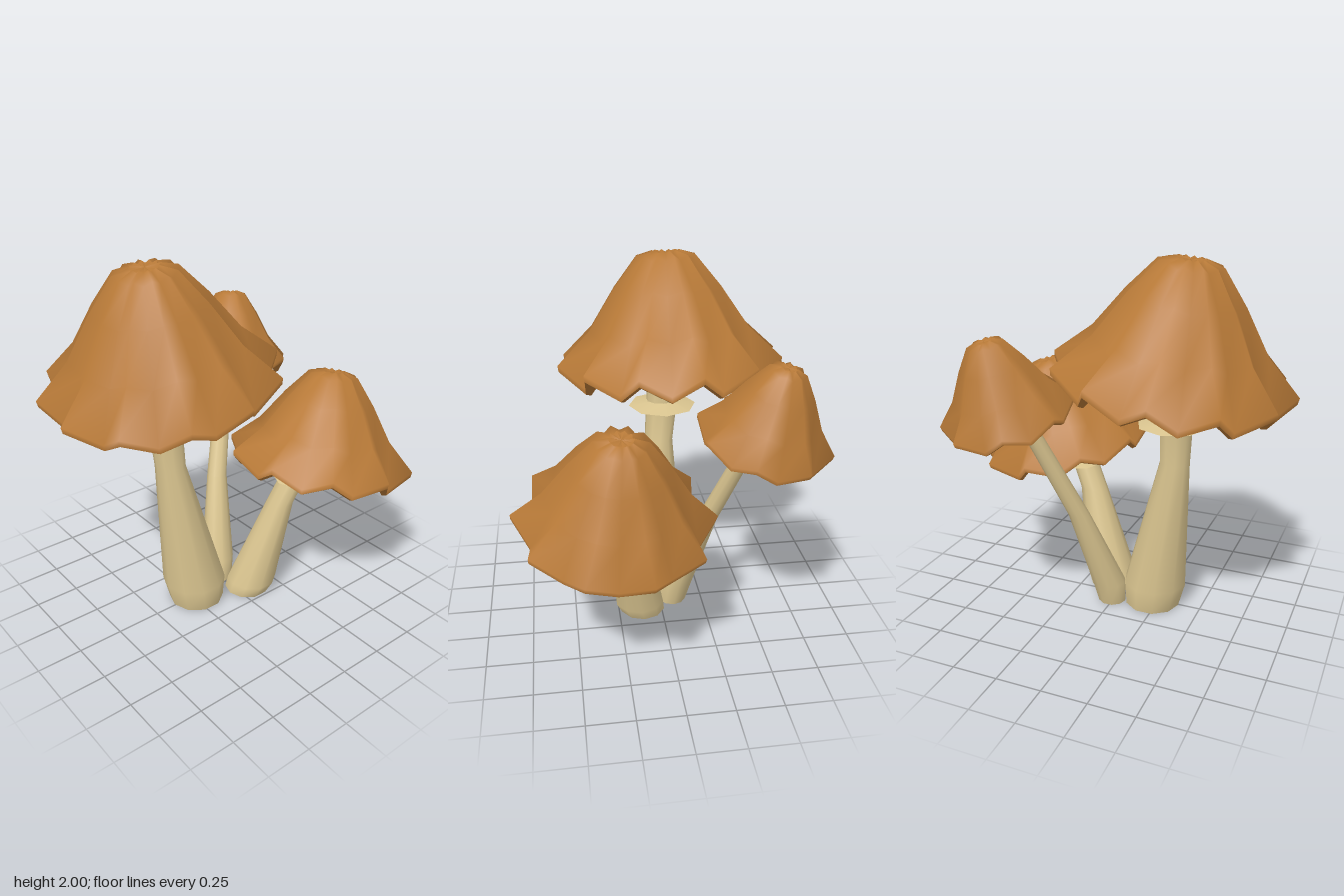
import * as THREE from 'three';
import { mergeGeometries } from 'three/addons/utils/BufferGeometryUtils.js';

// Smooth surface through closed rings of points; upward rings face outward.
function loft(rings) {
  const n = rings[0].length, index = [];
  for (let i = 0; i < rings.length - 1; i++) {
    for (let j = 0; j < n; j++) {
      const k = (j + 1) % n, a = i * n + j, b = i * n + k;
      index.push(a, a + n, b, b, a + n, b + n);
    }
  }
  const geometry = new THREE.BufferGeometry().setFromPoints(rings.flat());
  geometry.setIndex(index);
  geometry.computeVertexNormals();
  return geometry;
}

// Horizontal ring of n points.
function circle(x, y, z, r, n) {
  return Array.from({ length: n }, (_, j) => {
    const a = (j / n) * Math.PI * 2;
    return new THREE.Vector3(x + r * Math.cos(a), y, z + r * Math.sin(a));
  });
}

// Cap cross-sections: [ridge radius, ridge height, valley radius, valley height]
const CROWN = [[0.08, 0.675, 0.072, 0.662], [0, 0.665, 0, 0.665]];
const OUTER = [
  [0.645, 0.05, 0.542, -0.06],
  [0.65, 0.085, 0.545, -0.028],
  [0.46, 0.26, 0.42, 0.215],
  [0.31, 0.48, 0.285, 0.455],
  [0.17, 0.65, 0.155, 0.625],
  CROWN[0],
];
const UNDERSIDE = [
  [0, 0.3, 0, 0.3],
  [0.18, 0.26, 0.16, 0.24],
  [0.42, 0.14, 0.37, 0.08],
  [0.61, 0.035, 0.51, -0.07],
  OUTER[0],
];

// Pleated cap with alternating ridges and valleys.
function capGeometry(ridges, startDegrees, radius, height) {
  const ring = ([r0, h0, r1, h1]) => Array.from({ length: ridges * 2 }, (_, j) => {
    const a = THREE.MathUtils.degToRad(startDegrees) + (j / ridges) * Math.PI;
    const r = (j % 2 ? r1 : r0) * radius;
    return new THREE.Vector3(r * Math.cos(a), (j % 2 ? h1 : h0) * height, r * Math.sin(a));
  });
  return mergeGeometries([CROWN, OUTER, UNDERSIDE].map((rows) => loft(rows.map(ring))));
}

const MUSHROOMS = [
  {
    name: 'largeMushroom',
    cap: { ridges: 12, start: 22, radius: 0.99, height: 1, at: [-0.335, 1.325, -0.108], axis: [-0.13, 0.99, 0.02] },
    // stem sections: x, y, z, radius
    stem: [[-0.215, 0, -0.005, 0.157], [-0.23, 0.14, -0.005, 0.18], [-0.345, 0.9, -0.045, 0.084],
      [-0.36, 1.25, -0.075, 0.094], [-0.375, 1.6, -0.095, 0.094]],
    skirt: [-0.335, 1.12, -0.065, 0.195],
  },
  {
    name: 'frontMushroom',
    cap: { ridges: 10, start: 20, radius: 0.81, height: 0.82, at: [0.445, 0.78, 0.29], axis: [0.22, 0.97, -0.06] },
    stem: [[0.08, 0, 0.11, 0.13], [0.1, 0.07, 0.13, 0.142], [0.245, 0.57, 0.2, 0.078],
      [0.36, 0.82, 0.245, 0.075], [0.47, 1.03, 0.275, 0.07]],
    skirt: [0.365, 0.71, 0.225, 0.155],
  },
  {
    name: 'backMushroom',
    cap: { ridges: 8, start: 20, radius: 0.55, height: 0.66, at: [0.41, 1.175, -0.47], axis: [0.17, 0.965, -0.2] },
    stem: [[0.01, 0, -0.077, 0.08], [0.02, 0.13, -0.1, 0.094], [0.135, 0.6, -0.25, 0.058],
      [0.32, 1.1, -0.415, 0.048], [0.42, 1.37, -0.505, 0.045]],
  },
];

export function createModel() {
  const capColour = new THREE.MeshStandardMaterial({ color: 0xb87a38 });
  capColour.name = 'capBrown';
  const stemColour = new THREE.MeshStandardMaterial({ color: 0xd9c48f });
  stemColour.name = 'stemCream';

  const model = new THREE.Group();
  model.name = 'mushroomCluster';

  for (const { name, cap, stem, skirt } of MUSHROOMS) {
    const mushroom = new THREE.Group();
    mushroom.name = name;
    model.add(mushroom);
    const add = (part, geometry, material) => {
      const mesh = new THREE.Mesh(geometry, material);
      mesh.name = part;
      mushroom.add(mesh);
      return mesh;
    };

    // Leaning cap
    const capMesh = add('cap', capGeometry(cap.ridges, cap.start, cap.radius, cap.height), capColour);
    capMesh.position.set(...cap.at);
    capMesh.quaternion.setFromUnitVectors(
      new THREE.Vector3(0, 1, 0), new THREE.Vector3(...cap.axis).normalize());

    // Bulbous stem with a flat foot
    const sections = stem.map((s) => circle(...s, 10));
    const [x, y, z] = stem[0];
    add('stem', loft(sections), stemColour);
    add('stemFoot', loft([circle(x, y, z, 0, 10), sections[0]]), stemColour);

    // Thin skirt around the stem, brown underneath
    if (skirt) {
      const [sx, sy, sz, r] = skirt;
      const edge = circle(sx, sy, sz, r, 8);
      add('skirtTop', loft([edge, circle(sx, sy + 0.03, sz, 0.06, 8)]), stemColour);
      add('skirtUnderside', loft([circle(sx, sy + 0.01, sz, 0.06, 8), edge]), capColour);
    }
  }
  return model;
}
